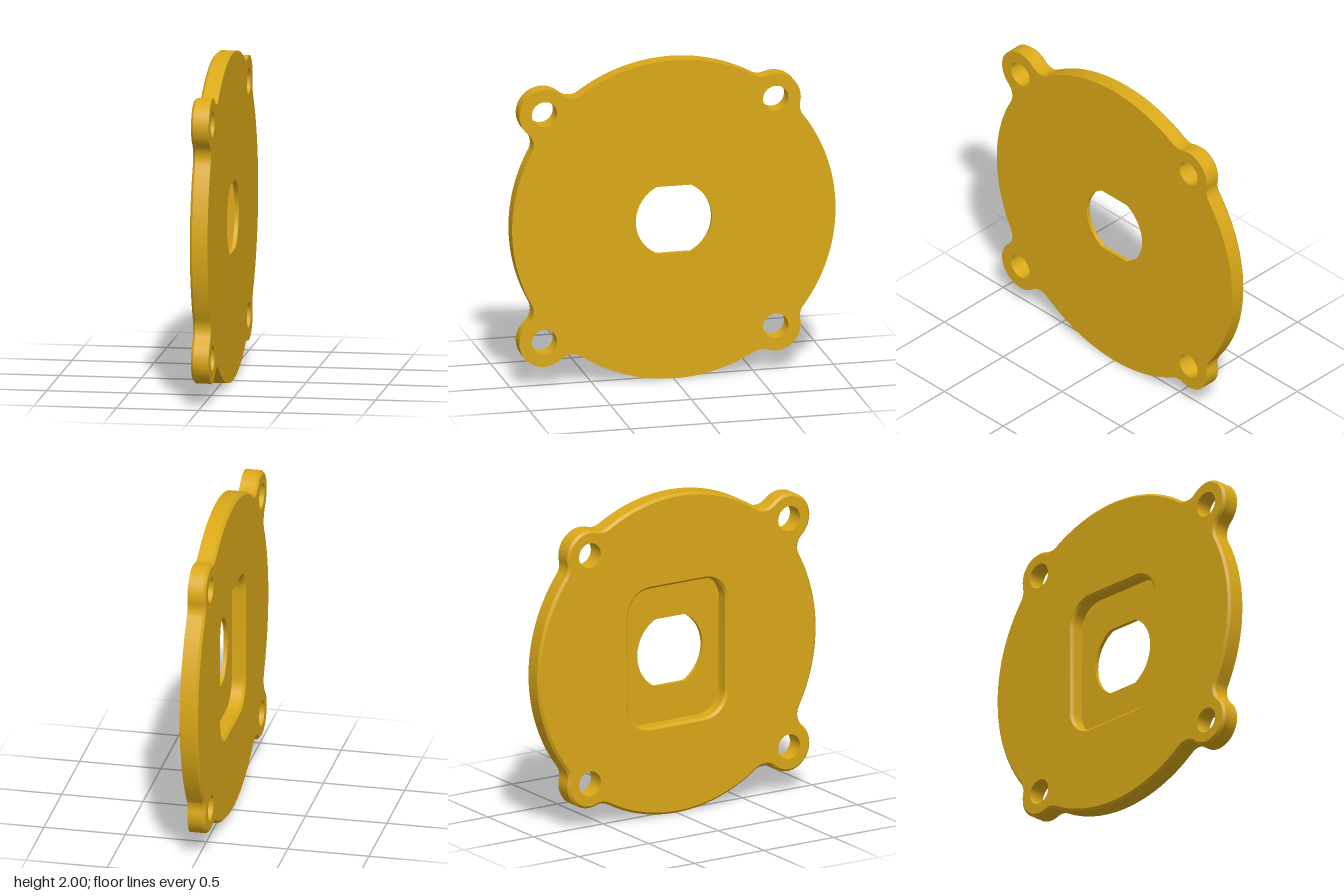
import * as THREE from 'three';
import { toCreasedNormals } from 'three/addons/utils/BufferGeometryUtils.js';

const INNER = -0.055, OUTER = 0.055, FLOOR = 0.03, BEVEL = 0.015;
const DISC_R = 1, LUG_R = 0.155, FILLET_R = 0.1, BOLT_R = 0.078;
// Profile plane: u = -z, v = y - 1, counter-clockwise seen from +x
const LUGS = [[0.63, 0.715], [-0.8, 0.715], [-0.8, -0.715], [0.63, -0.715]];
const TAU = Math.PI * 2;

// Arc points from a0 to a1 (dir 1 = counter-clockwise), last point left out
function arc(cx, cy, r, a0, a1, n, dir = 1) {
  const sweep = dir * ((((a1 - a0) * dir) % TAU + TAU) % TAU || TAU);
  return Array.from({ length: n }, (_, i) => {
    const a = a0 + sweep * i / n;
    return new THREE.Vector2(cx + r * Math.cos(a), cy + r * Math.sin(a));
  });
}

// Disc with four filleted lugs, offset inwards by inset
function outline(inset) {
  const reach = DISC_R + FILLET_R, gap = LUG_R + FILLET_R;
  const lugs = LUGS.map(([u, v]) => {
    const d = Math.hypot(u, v), t = Math.atan2(v, u);
    const w = Math.acos((reach * reach + d * d - gap * gap) / (2 * reach * d));
    return { u, v, start: t - w, end: t + w };
  });
  const pts = [];
  lugs.forEach(({ u, v, start, end }, i) => {
    const [ax, ay] = [reach * Math.cos(start), reach * Math.sin(start)];
    const [bx, by] = [reach * Math.cos(end), reach * Math.sin(end)];
    const toA = Math.atan2(ay - v, ax - u), toB = Math.atan2(by - v, bx - u);
    const f = FILLET_R + inset;
    pts.push(
      ...arc(ax, ay, f, start + Math.PI, toA + Math.PI, 10, -1),
      ...arc(u, v, LUG_R - inset, toA, toB, 28),
      ...arc(bx, by, f, toB + Math.PI, end + Math.PI, 10, -1),
      ...arc(0, 0, DISC_R - inset, end, lugs[(i + 1) % 4].start, 28));
  });
  return pts;
}

// Rounded rectangle of the pocket, grown by grow
function pocketOutline(grow) {
  const r = 0.155, w = 0.35 - r, h = 0.435 - r;
  const corners = [[w, h], [-w, h], [-w, -h], [w, -h]];
  return corners.flatMap(([u, v], i) => {
    const pts = arc(u, v, r + grow, i * Math.PI / 2, (i + 1) * Math.PI / 2, 10);
    const a = (i + 1) * Math.PI / 2;
    pts.push(new THREE.Vector2(u + (r + grow) * Math.cos(a), v + (r + grow) * Math.sin(a)));
    return pts;
  });
}

// Round shaft hole with a flat at top and bottom
function shaftOutline() {
  const r = 0.235, a = Math.asin(0.21 / r);
  return [
    ...arc(0, 0, r, -a, a, 24), new THREE.Vector2(r * Math.cos(a), 0.21),
    ...arc(0, 0, r, Math.PI - a, Math.PI + a, 24), new THREE.Vector2(-r * Math.cos(a), -0.21),
  ];
}

// Wall through matching rings [points, x]; rising x faces out, falling x faces in
function wall(rings) {
  const pos = [];
  const put = (p, x) => pos.push(x, p.y + 1, -p.x);
  for (let k = 0; k < rings.length - 1; k++) {
    const [a, xa] = rings[k], [b, xb] = rings[k + 1];
    for (let i = 0; i < a.length; i++) {
      const j = (i + 1) % a.length;
      put(a[i], xa); put(a[j], xa); put(b[j], xb);
      put(a[i], xa); put(b[j], xb); put(b[i], xb);
    }
  }
  const geo = new THREE.BufferGeometry();
  geo.setAttribute('position', new THREE.Float32BufferAttribute(pos, 3));
  return toCreasedNormals(geo, 0.35);
}

// Flat face at x, facing +x or (flipped) -x
function face(pts, holes, x, flip) {
  const shape = new THREE.Shape(pts);
  shape.holes = holes.map((h) => new THREE.Path(h));
  const geo = new THREE.ShapeGeometry(shape).rotateY(Math.PI / 2).translate(x, 1, 0);
  if (flip) {
    geo.index.array.reverse();
    geo.computeVertexNormals();
  }
  return geo;
}

export function createModel() {
  const group = new THREE.Group();
  group.name = 'coverPlate';
  const material = new THREE.MeshStandardMaterial({ color: 0xdaa818 });
  const add = (name, geo) => {
    const mesh = new THREE.Mesh(geo, material);
    mesh.name = name;
    group.add(mesh);
  };

  const rim = outline(0), rimInset = outline(BEVEL);
  const pocket = pocketOutline(0), pocketMouth = pocketOutline(BEVEL);
  const shaft = shaftOutline();
  const bolts = LUGS.map(([u, v]) => arc(u, v, BOLT_R, 0, TAU, 36));

  // Edge with a bevel on the inner side
  add('outerEdge', wall([[rimInset, INNER], [rim, INNER + BEVEL], [rim, OUTER]]));
  // Flat faces
  add('outerFace', face(rim, [...bolts, shaft], OUTER, false));
  add('innerFace', face(rimInset, [...bolts, pocketMouth], INNER, true));
  // Pocket with bevelled mouth
  add('pocketWall', wall([[pocket, FLOOR], [pocket, INNER + BEVEL], [pocketMouth, INNER]]));
  add('pocketFloor', face(pocket, [shaft], FLOOR, true));
  // Through holes
  add('shaftHole', wall([[shaft, OUTER], [shaft, FLOOR]]));
  bolts.forEach((b, i) => add('boltHole' + (i + 1), wall([[b, OUTER], [b, INNER]])));

  return group;
}
